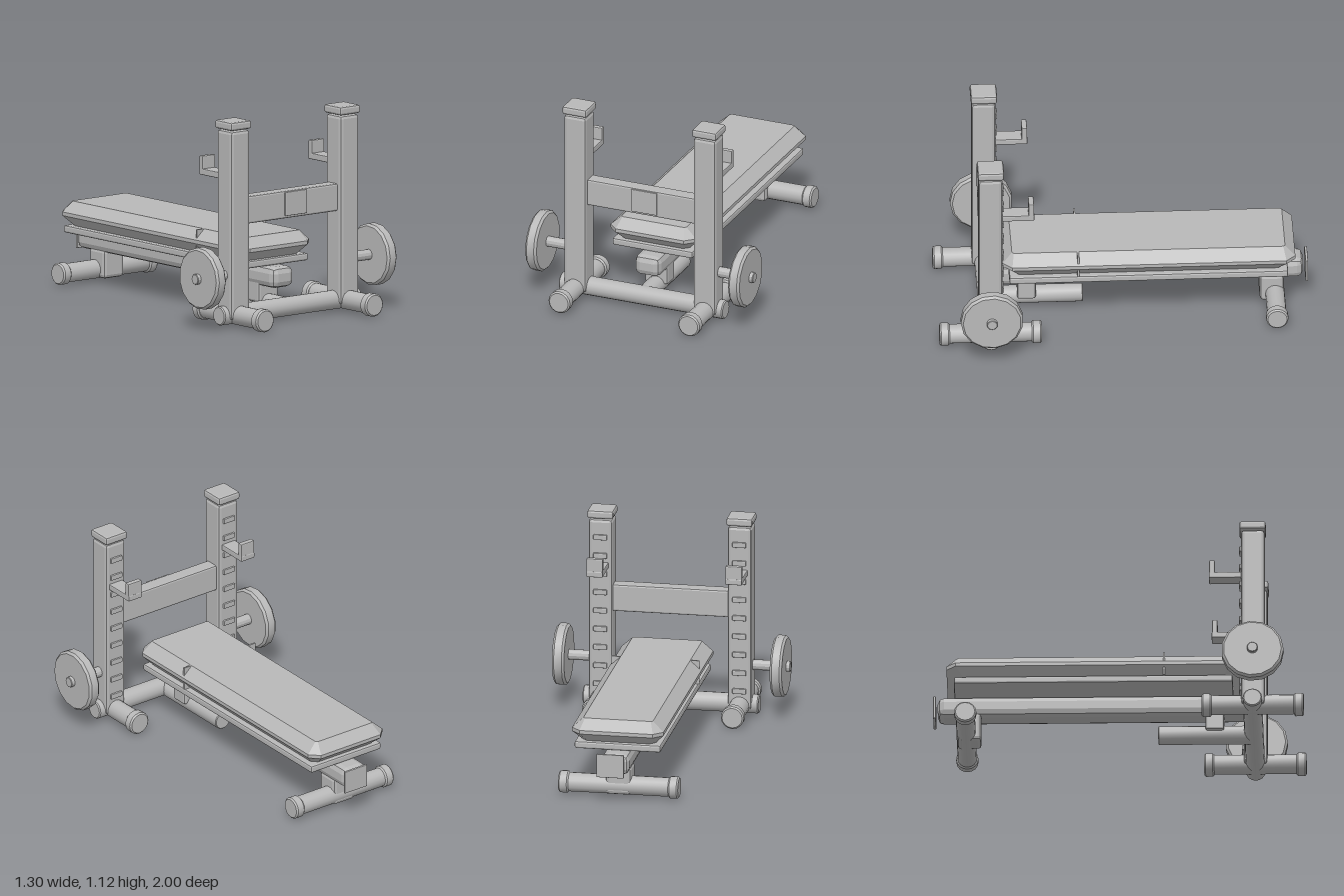
import * as THREE from 'three';
import { toCreasedNormals } from 'three/addons/utils/BufferGeometryUtils.js';
import { RoundedBoxGeometry } from 'three/addons/geometries/RoundedBoxGeometry.js';

export function createModel() {
  const model = new THREE.Group();
  model.name = 'weightBench';
  const grey = new THREE.MeshStandardMaterial({ color: 0xb8b8b8 });
  grey.name = 'plain grey';

  const add = (name, geometry, x = 0, y = 0, z = 0) => {
    const mesh = new THREE.Mesh(geometry, grey);
    mesh.name = name;
    mesh.position.set(x, y, z);
    model.add(mesh);
    return mesh;
  };

  // box with flat chamfered edges
  const block = (name, w, h, d, chamfer, x, y, z) => {
    let g = new RoundedBoxGeometry(w, h, d, 1, chamfer);
    if (g.index) g = g.toNonIndexed();
    g.computeVertexNormals();
    return add(name, g, x, y, z);
  };

  // round bar with bevelled rims, lying along x or z
  const bar = (name, axis, r, length, bevel, x, y, z, sides = 16) => {
    const h = length / 2;
    const profile = [[0, -h], [r - bevel, -h], [r, bevel - h], [r, h - bevel], [r - bevel, h], [0, h]]
      .map(([px, py]) => new THREE.Vector2(px, py));
    const g = toCreasedNormals(new THREE.LatheGeometry(profile, sides), 0.5);
    if (axis === 'x') g.rotateZ(-Math.PI / 2);
    else g.rotateX(Math.PI / 2);
    return add(name, g, x, y, z);
  };

  // stack of corner-cut rectangles: [y, half width, z back, z front, corner cut]
  const stack = (name, levels) => {
    const rings = levels.map(([y, w, b, f, c]) => [
      [w, f - c], [w, b + c], [w - c, b], [c - w, b],
      [-w, b + c], [-w, f - c], [c - w, f], [w - c, f],
    ].map(([x, z]) => [x, y, z]));
    const out = [];
    const tri = (...points) => points.forEach((p) => out.push(...p));
    const n = 8;
    for (let k = 0; k < rings.length - 1; k++) {
      const lo = rings[k], hi = rings[k + 1];
      for (let i = 0; i < n; i++) {
        const j = (i + 1) % n;
        tri(lo[i], lo[j], hi[j]);
        tri(lo[i], hi[j], hi[i]);
      }
    }
    const bottom = rings[0], top = rings[rings.length - 1];
    for (let i = 1; i < n - 1; i++) {
      tri(top[0], top[i], top[i + 1]);
      tri(bottom[0], bottom[i + 1], bottom[i]);
    }
    const g = new THREE.BufferGeometry();
    g.setAttribute('position', new THREE.Float32BufferAttribute(out, 3));
    g.computeVertexNormals();
    return add(name, g);
  };

  // padded bench, its seam and the board beneath
  stack('benchPad', [
    [0.315, 0.2, -0.86, 0.59, 0.03],
    [0.37, 0.25, -0.925, 0.65, 0.05],
    [0.39, 0.25, -0.925, 0.65, 0.05],
    [0.445, 0.19, -0.87, 0.6, 0.01],
  ]);
  add('padSeam', new THREE.BoxGeometry(0.48, 0.13, 0.01), 0, 0.38, 0.245);
  block('padBoard', 0.47, 0.04, 1.5, 0.01, 0, 0.295, -0.135);

  // central spine with its front and rear posts
  block('spine', 0.15, 0.115, 1.67, 0.035, 0, 0.218, -0.14);
  block('frontPost', 0.135, 0.12, 0.1, 0.012, 0, 0.13, 0.515);
  block('rearPost', 0.14, 0.16, 0.13, 0.02, 0, 0.1, -0.805);

  // floor tubes
  bar('frontCrossTube', 'x', 0.052, 0.96, 0.006, 0, 0.066, 0.725);
  bar('centreFloorTube', 'z', 0.05, 0.515, 0.004, 0, 0.064, 0.468);
  bar('rearFoot', 'x', 0.052, 0.64, 0.005, 0, 0.066, -0.822);

  // beam between the uprights
  block('upperCrossBeam', 0.64, 0.15, 0.08, 0.01, 0, 0.63, 0.725);

  // plain end plates
  block('beamPlate', 0.15, 0.13, 0.012, 0.004, 0.02, 0.635, 0.769);
  block('rearPlate', 0.15, 0.13, 0.014, 0.004, 0.02, 0.22, -0.992);

  for (const s of [-1, 1]) {
    const x = s * 0.38;

    // upright and cap
    block('upright', 0.13, 1.03, 0.128, 0.018, x, 0.56, 0.727);
    block('uprightCap', 0.142, 0.046, 0.142, 0.012, x, 1.102, 0.725);

    // adjustment rungs
    for (let i = 0; i < 9; i++) {
      block('rung', 0.075, 0.03, 0.025, 0.005, x, 0.975 - i * 0.103, 0.665);
    }

    // bar rest
    block('barRestArm', 0.09, 0.034, 0.18, 0.006, x, 0.818, 0.58);
    block('barRestLip', 0.09, 0.104, 0.03, 0.006, x, 0.853, 0.507);

    // floor feet
    bar('sideFoot', 'z', 0.053, 0.53, 0.003, x, 0.066, 0.725);
    for (const z of [0.477, 0.973]) {
      bar('sideFootCap', 'z', 0.063, 0.054, 0.008, x, 0.065, z);
    }
    bar('rearFootCap', 'x', 0.06, 0.055, 0.008, s * 0.3, 0.066, -0.822);

    // weight plate on its peg
    bar('weightPeg', 'x', 0.029, 0.24, 0.003, s * 0.53, 0.285, 0.728, 12);
    bar('weightPlate', 'x', 0.168, 0.066, 0.012, s * 0.595, 0.285, 0.728, 15);
  }

  return model;
}
